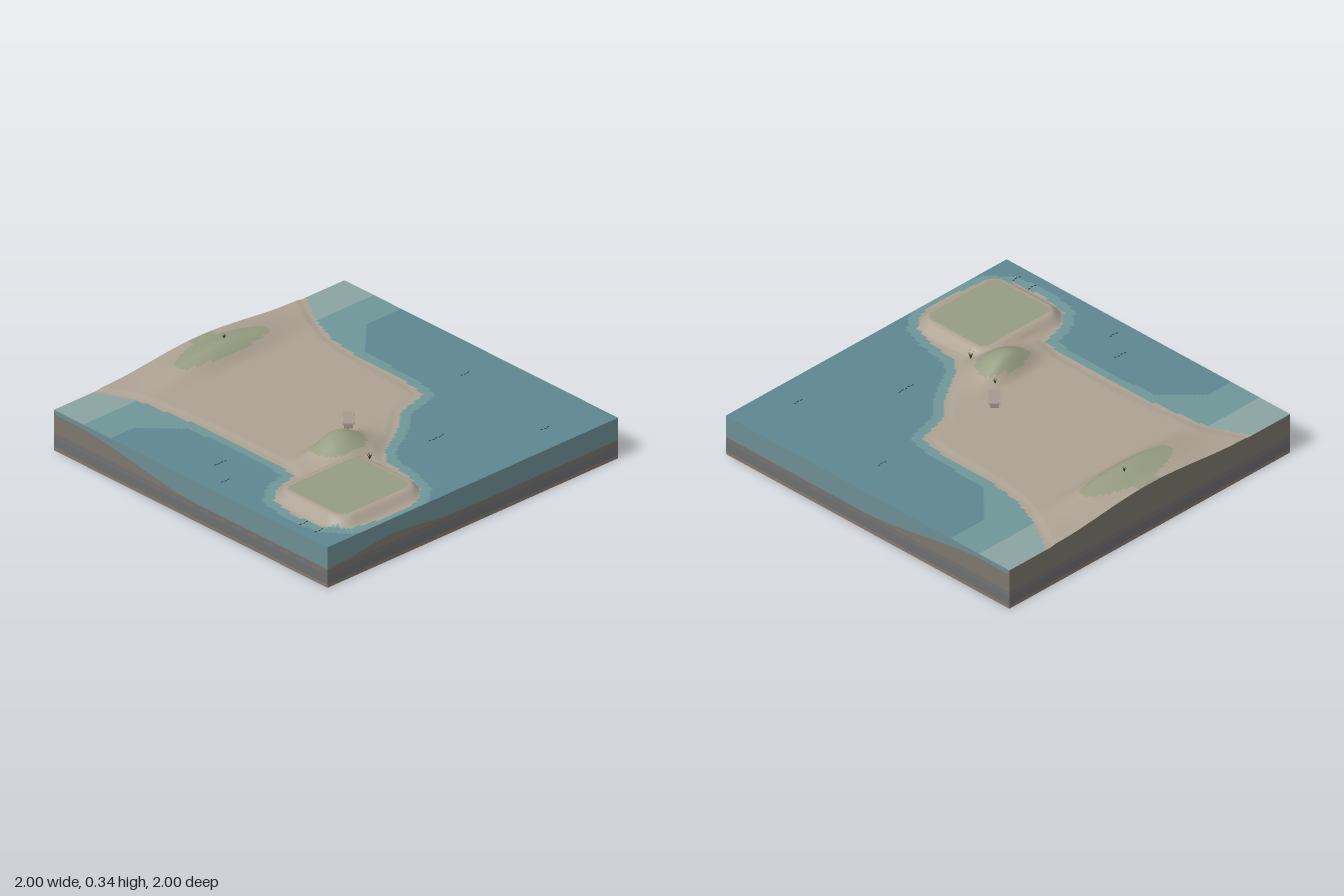
import * as THREE from 'three';

const SEA = 0.23, N = 130;
const { smoothstep, clamp } = THREE.MathUtils;

// Shoreline, running past the back edge of the block
const COAST = [[-0.85, -1.2], [-0.7, -1], [-0.6, -0.8], [-0.565, -0.5], [-0.55, -0.2], [-0.55, 0.2], [-0.58, 0.36],
  [-0.74, 0.4], [-0.83, 0.47], [-0.86, 0.64], [-0.84, 0.82], [-0.76, 0.91], [-0.55, 0.945], [-0.36, 0.93],
  [-0.26, 0.85], [-0.22, 0.72], [-0.19, 0.53], [-0.11, 0.43], [0.08, 0.32], [0.24, 0.18], [0.43, 0.13],
  [0.455, 0], [0.47, -0.4], [0.5, -0.6], [0.58, -0.8], [0.7, -1], [0.85, -1.2]];

// Signed distance to the shore, positive on land
function shore(x, z) {
  let best = 9, inside = false;
  COAST.forEach(([ax, az], i) => {
    const [bx, bz] = COAST[(i + 1) % COAST.length], dx = bx - ax, dz = bz - az;
    const t = clamp(((x - ax) * dx + (z - az) * dz) / (dx * dx + dz * dz), 0, 1);
    best = Math.min(best, Math.hypot(x - ax - t * dx, z - az - t * dz));
    if ((az > z) !== (bz > z) && x < ax + (z - az) / dz * dx) inside = !inside;
  });
  return inside ? best : -best;
}

// Inset from the edge of the rounded headland
function headland(x, z) {
  const r = 0.13, qx = Math.abs(x + 0.54) - 0.32 + r, qz = Math.abs(z - 0.665) - 0.28 + r;
  return r - Math.hypot(Math.max(qx, 0), Math.max(qz, 0)) - Math.min(Math.max(qx, qz), 0);
}

function landHeight(x, z) {
  const beach = SEA + clamp(shore(x, z) * 0.25, -0.01, 0.006);
  const top = SEA + 0.05 * smoothstep(headland(x, z), -0.005, 0.06);
  const front = 0.108 * Math.exp(-(((x + 0.27) / 0.17) ** 2))
    * smoothstep(z, 0.17, 0.28) * (1 - smoothstep(z, 0.3, 0.52));
  const back = 0.08 * (0.5 + 0.5 * Math.cos(Math.PI * Math.min(1, Math.abs(x) / 0.68)))
    * smoothstep(-z, 0.68, 0.82) * (1 - 0.42 * smoothstep(-z, 0.83, 0.97));
  return Math.max(beach + front + back, top);
}

const seabed = (x, z) => 0.105 + 0.1 * smoothstep(-z, -0.05, 0.85)
  + 0.04 * Math.exp(-(((x + 0.55) / 0.25) ** 2)) * smoothstep(z, 0.4, 1);
const surface = (x, z) => Math.max(SEA, landHeight(x, z));

const material = (color, extra) => new THREE.MeshStandardMaterial({ color, ...extra });

// Square sheet shaped by a height rule, its cells sorted into one mesh per named zone
function sheet(group, height, zone, colors) {
  const geo = new THREE.PlaneGeometry(2, 2, N, N).rotateX(-Math.PI / 2);
  const p = geo.attributes.position, idx = geo.index.array, lists = {};
  for (let i = 0; i < p.count; i++) p.setY(i, height(p.getX(i), p.getZ(i)));
  geo.computeVertexNormals();
  for (let i = 0; i < idx.length; i += 6) {
    const x = (p.getX(idx[i]) + p.getX(idx[i + 5])) / 2, z = (p.getZ(idx[i]) + p.getZ(idx[i + 1])) / 2;
    const name = zone(x, z);
    if (name) (lists[name] ??= []).push(...idx.slice(i, i + 6));
  }
  for (const name in lists) {
    const part = geo.clone().setIndex(lists[name]);
    const mesh = new THREE.Mesh(part, material(colors[name]));
    mesh.name = name;
    group.add(mesh);
  }
}

// Band around the four sides of the block, between two height rules
function wallBand(group, name, color, low, high) {
  const pos = [], index = [], corners = [[-1, 1], [1, 1], [1, -1], [-1, -1]];
  corners.forEach(([ax, az], s) => {
    const [bx, bz] = corners[(s + 1) % 4];
    for (let i = 0; i <= N; i++) {
      const x = ax + (bx - ax) * i / N, z = az + (bz - az) * i / N, k = pos.length / 3;
      pos.push(x, low(x, z), z, x, high(x, z), z);
      if (i < N) index.push(k, k + 2, k + 3, k, k + 3, k + 1);
    }
  });
  const geo = new THREE.BufferGeometry();
  geo.setAttribute('position', new THREE.Float32BufferAttribute(pos, 3));
  geo.setIndex(index);
  geo.computeVertexNormals();
  const mesh = new THREE.Mesh(geo, material(color));
  mesh.name = name;
  group.add(mesh);
}

export function createModel() {
  const model = new THREE.Group();
  model.name = 'islandBlock';
  const add = (parent, name, geo, mat, x, y, z) => {
    const mesh = new THREE.Mesh(geo, mat);
    mesh.name = name;
    mesh.position.set(x, y, z);
    parent.add(mesh);
    return mesh;
  };

  // Land: sand with grass on the headland and the dunes
  sheet(model, landHeight, (x, z) => {
    if (shore(x, z) < -0.03) return null;
    return headland(x, z) > 0.07 || landHeight(x, z) > 0.281 ? 'grass' : 'sand';
  }, { grass: 0x979d82, sand: 0xaca293 });

  // Water, paler towards the shore and the back
  sheet(model, () => SEA, (x, z) => {
    const d = shore(x, z);
    if (d > 0.03) return null;
    if (z < -0.78 || d > -0.03) return 'shallowWater';
    return z < -0.58 + 1.2 * Math.max(0, 0.25 + d) && d > -0.25 || z < -0.58 || d > -0.085
      ? 'middleWater' : 'deepWater';
  }, { shallowWater: 0x8aa3a1, middleWater: 0x6f9799, deepWater: 0x5e8890 });

  // Layered sides and the underside
  const level = y => () => y;
  const groundTop = (x, z) => (z < -0.999 ? surface(x, z) : seabed(x, z));
  wallBand(model, 'baseLayer', 0x85786d, level(0), level(0.02));
  wallBand(model, 'rockLayer', 0x6d6e70, level(0.02), level(0.07));
  wallBand(model, 'clayLayer', 0x747270, level(0.07), level(0.1));
  wallBand(model, 'seabedLayer', 0x7d776d, level(0.1), groundTop);
  wallBand(model, 'waterLayer', 0x6c8f93, groundTop, surface);
  add(model, 'underside', new THREE.PlaneGeometry(2, 2).rotateX(Math.PI / 2), material(0x4d453e), 0, 0, 0);

  // Small shelter at the foot of the front dune
  const shelter = new THREE.Group();
  shelter.name = 'shelter';
  shelter.position.set(-0.03, 0.235, 0.125);
  shelter.rotation.y = Math.PI / 4;
  add(shelter, 'shelterBody', new THREE.BoxGeometry(0.11, 0.025, 0.045), material(0x9a9186), 0, 0.0125, 0);
  add(shelter, 'shelterRoof', new THREE.BoxGeometry(0.125, 0.008, 0.058), material(0xa39a90), 0, 0.029, 0);
  model.add(shelter);

  // Tufts of dune grass
  const dark = material(0x3c4632);
  for (const [x, z, size] of [[-0.22, 0.48, 0.045], [-0.13, 0.22, 0.03], [0.04, -0.86, 0.03]]) {
    const tuft = new THREE.Group();
    tuft.name = 'grassTuft';
    tuft.position.set(x, surface(x, z) - 0.003, z);
    for (let i = 0; i < 5; i++) {
      const blade = add(tuft, 'blade', new THREE.ConeGeometry(0.003, size, 4).translate(0, size / 2, 0), dark, 0, 0, 0);
      blade.rotation.set(0, i * 1.257, 0.5 - 0.08 * i);
    }
    model.add(tuft);
  }

  // Rows of ripples on the water
  const rippleMat = material(0x2f4a50);
  for (const [x, z, count] of [[-0.78, -0.02, 4], [-0.89, 0.135, 3], [0.76, 0.135, 3], [0.19, 0.53, 5],
    [0.655, 0.83, 3], [-0.91, 0.73, 3], [-0.91, 0.84, 3]]) {
    for (let i = 0; i < count; i++) {
      add(model, 'ripple', new THREE.BoxGeometry(0.014, 0.003, 0.004), rippleMat,
        x + (i - (count - 1) / 2) * 0.022, SEA + 0.001, z + (i % 2) * 0.004);
    }
  }
  return model;
}
